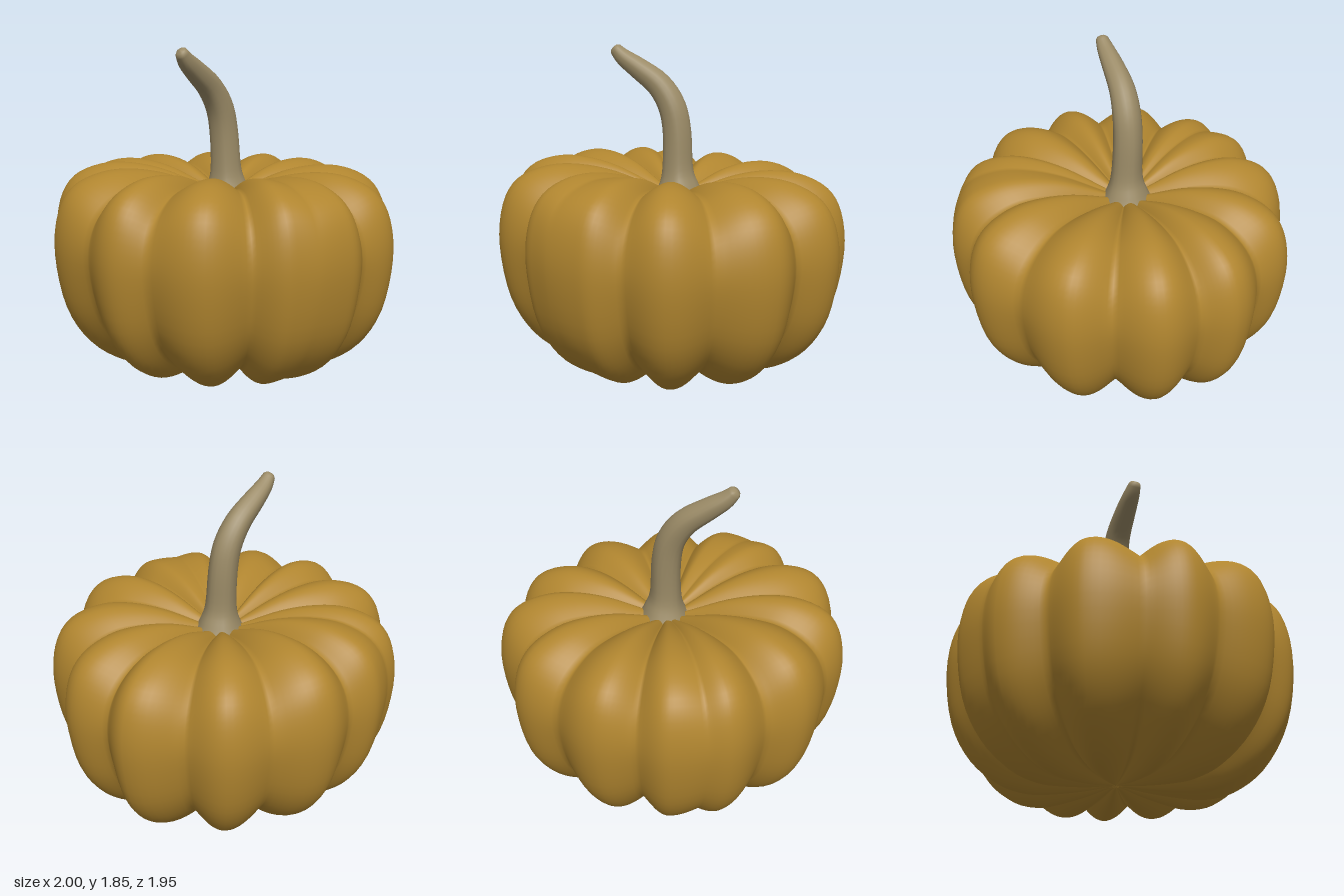
import * as THREE from 'three';

// Skin a list of equal-length rings of points, bottom to top
function loft(rings, color, name) {
  const n = rings[0].length, pos = [], idx = [];
  rings.forEach(ring => ring.forEach(p => pos.push(p.x, p.y, p.z)));
  for (let i = 0; i < rings.length - 1; i++) {
    for (let j = 0; j < n; j++) {
      const a = i * n + j, b = i * n + (j + 1) % n, c = a + n, d = b + n;
      idx.push(a, c, b, b, c, d);
    }
  }
  const geo = new THREE.BufferGeometry();
  geo.setAttribute('position', new THREE.Float32BufferAttribute(pos, 3));
  geo.setIndex(idx);
  geo.computeVertexNormals();
  const mesh = new THREE.Mesh(geo, new THREE.MeshStandardMaterial({ color }));
  mesh.name = name;
  return mesh;
}

const spline = pts => new THREE.SplineCurve(pts.map(p => new THREE.Vector2(...p)));
const lerp = THREE.MathUtils.lerp;
const CX = 0.03, CZ = -0.02;

// Per lobe: groove x, z, then crest x, z, then how deep the groove is
const LOBES = [
  [0.93, -0.05, 0.995, 0.19, 1], [0.8, 0.4, 0.75, 0.66, 1],
  [0.46, 0.79, 0.24, 0.965, 1], [0, 0.91, -0.2, 0.965, 1],
  [-0.4, 0.9, -0.53, 0.82, 0.2], [-0.62, 0.63, -0.87, 0.48, 1],
  [-0.91, 0.19, -1, 0, 1], [-0.92, -0.21, -0.87, -0.51, 1],
  [-0.66, -0.64, -0.53, -0.86, 1], [-0.4, -0.9, -0.22, -0.975, 0.4],
  [-0.02, -0.92, 0.2, -0.97, 1], [0.45, -0.8, 0.71, -0.71, 1],
  [0.78, -0.48, 0.995, -0.25, 1],
];

// Meridians as (fraction of radius, height)
const crest = spline([[0, 0.07], [0.06, 0.065], [0.18, 0.04], [0.35, 0.018], [0.5, 0.014], [0.66, 0.06],
  [0.83, 0.19], [0.95, 0.4], [1, 0.7], [0.975, 0.93], [0.89, 1.075], [0.73, 1.15], [0.55, 1.162],
  [0.35, 1.125], [0.14, 1.04], [0, 0.98]]);
const groove = spline([[0, 0.075], [0.06, 0.075], [0.18, 0.07], [0.35, 0.072], [0.5, 0.09], [0.65, 0.14],
  [0.82, 0.26], [0.94, 0.44], [1, 0.7], [0.97, 0.88], [0.87, 1.0], [0.71, 1.075], [0.54, 1.085],
  [0.35, 1.06], [0.14, 1.01], [0, 0.97]]);

function pumpkinBody() {
  const polar = (x, z) => ({ a: Math.atan2(z - CZ, x - CX), r: Math.hypot(x - CX, z - CZ) });
  const columns = [], steps = 8;
  LOBES.forEach((lobe, i) => {
    const next = LOBES[(i + 1) % LOBES.length];
    const g0 = polar(lobe[0], lobe[1]), p = polar(lobe[2], lobe[3]), g1 = polar(next[0], next[1]);
    // Half lobes: groove to crest, then crest to next groove
    [[g0, lobe[4], false], [g1, next[4], true]].forEach(([g, depth, falling]) => {
      const turn = Math.atan2(Math.sin(p.a - g.a), Math.cos(p.a - g.a));
      for (let k = 0; k < steps; k++) {
        const s = falling ? 1 - k / steps : k / steps;
        const w = Math.sin(s * Math.PI / 2);
        columns.push({ a: g.a + turn * s, r: lerp(g.r, p.r, w ** 1.35), h: 1 - depth * (1 - w) });
      }
    });
  });
  const rings = [], rows = 60;
  for (let i = 0; i <= rows; i++) {
    const c = crest.getPoint(i / rows), g = groove.getPoint(i / rows);
    rings.push(columns.map(({ a, r, h }) => {
      const rad = r * lerp(g.x, c.x, h);
      const x = CX + Math.cos(a) * rad, z = CZ + Math.sin(a) * rad;
      const y = lerp(g.y, c.y, h);
      // The body leans down toward +x, more so at the top
      return new THREE.Vector3(x, y - x * (0.022 + 0.025 * y) + 0.01 * y * z, z);
    }));
  }
  return loft(rings, 0xb0852f, 'pumpkinBody');
}

function pumpkinStem() {
  // Centre line as (x, y), with matching (radius, z)
  const path = spline([[0.045, 0.96], [0.043, 1.04], [0.037, 1.14], [0.03, 1.35], [-0.002, 1.5],
    [-0.08, 1.62], [-0.2, 1.71], [-0.29, 1.772], [-0.342, 1.823]]);
  const size = spline([[0.16, -0.02], [0.12, -0.02], [0.09, -0.022], [0.083, -0.032], [0.08, -0.038],
    [0.073, -0.045], [0.062, -0.045], [0.05, -0.042], [0.036, -0.038]]);
  const rings = [], rows = 32, sides = 20;
  const ring = (t, scale, push) => {
    const c = path.getPoint(t), d = path.getTangent(t), s = size.getPoint(t);
    rings.push(Array.from({ length: sides }, (_, j) => {
      const a = j / sides * Math.PI * 2;
      const r = s.x * scale * (1 + 0.03 * Math.cos(5 * a));
      return new THREE.Vector3(c.x + d.y * Math.cos(a) * r + d.x * push,
        c.y - d.x * Math.cos(a) * r + d.y * push, s.y + Math.sin(a) * r);
    }));
  };
  for (let i = 0; i <= rows; i++) ring(i / rows, 1, 0);
  // Rounded tip
  ring(1, 0.7, 0.012);
  ring(1, 0, 0.017);
  return loft(rings, 0x9a8a66, 'stem');
}

export function createModel() {
  const model = new THREE.Group();
  model.name = 'pumpkin';
  model.add(pumpkinBody(), pumpkinStem());
  return model;
}
